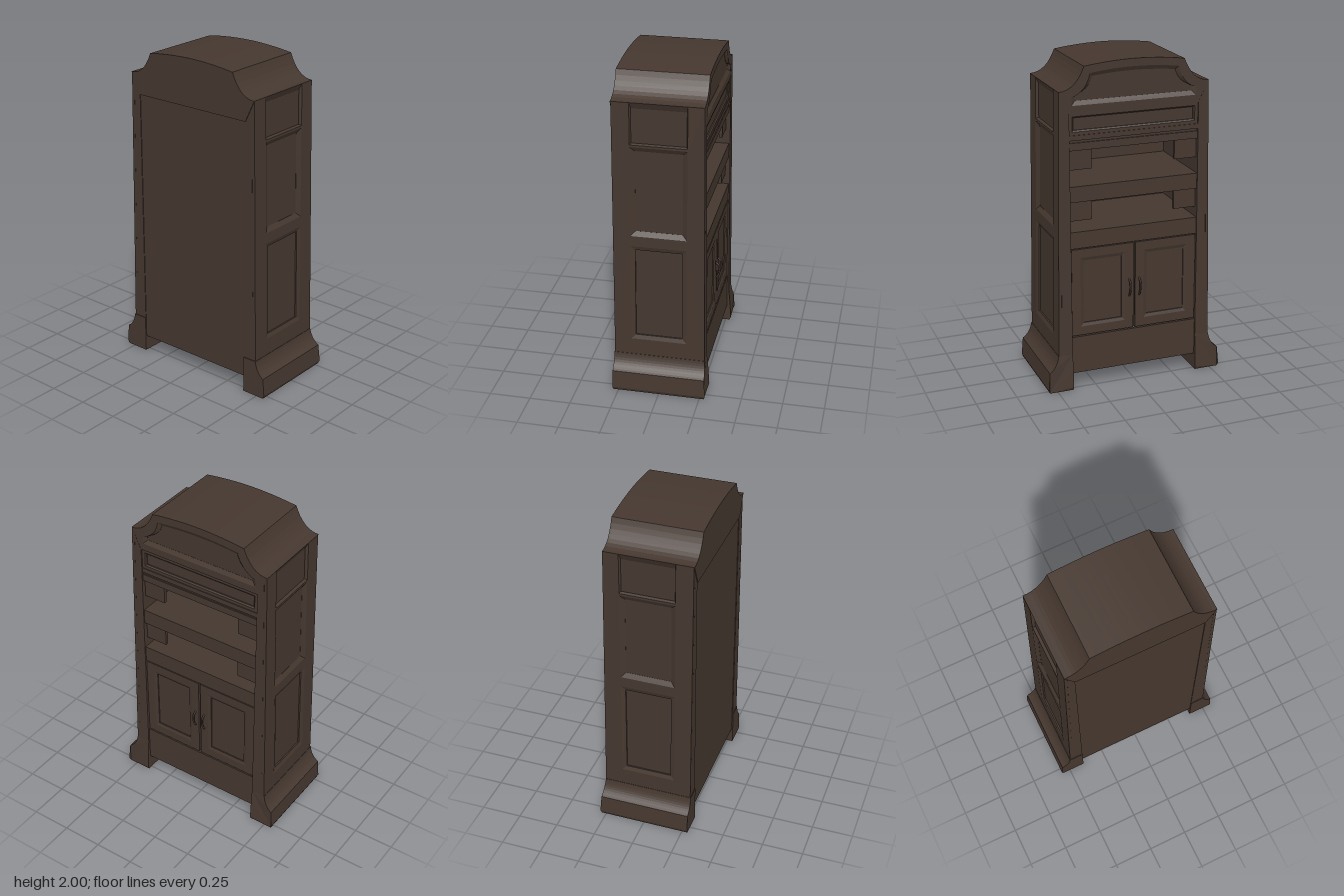
import * as THREE from 'three';

const wood = new THREE.MeshStandardMaterial({ color: 0x45372f, side: THREE.DoubleSide });
wood.name = 'dark brown wood';

const BACK = 0.285; // plain panelled face
const lerp = (a, b, t) => a + (b - a) * t;

// depth of the open face at each height (it leans back slightly)
const lean = [[0, 0.277], [0.02, 0.285], [0.13, 0.278], [0.23, 0.268], [1.84, 0.252], [2.1, 0.252]];
function faceDepth(y) {
  for (let i = 1; i < lean.length; i++) {
    const [y0, d0] = lean[i - 1], [y1, d1] = lean[i];
    if (y <= y1) return lerp(d0, d1, Math.max(0, (y - y0) / (y1 - y0)));
  }
  return 0.252;
}
// half width of the tapering sides
const sideX = (y) => lerp(0.488, 0.461, (y - 0.23) / 1.61);

const rect = (x0, x1, y0, y1) => [[x0, y0], [x1, y0], [x1, y1], [x0, y1]];
const toShape = (pts) => new THREE.Shape(pts.map((p) => new THREE.Vector2(p[0], p[1])));

function reshape(geo, rule) {
  const p = geo.attributes.position, v = new THREE.Vector3();
  for (let i = 0; i < p.count; i++) {
    v.fromBufferAttribute(p, i);
    rule(v);
    p.setXYZ(i, v.x, v.y, v.z);
  }
  geo.computeVertexNormals();
  return geo;
}

function add(parent, name, geo) {
  const mesh = new THREE.Mesh(geo, wood);
  mesh.name = name;
  parent.add(mesh);
  return mesh;
}

function box(parent, name, x0, x1, y0, y1, z0, z1) {
  const m = add(parent, name, new THREE.BoxGeometry(x1 - x0, y1 - y0, z1 - z0));
  m.position.set((x0 + x1) / 2, (y0 + y1) / 2, (z0 + z1) / 2);
}

const extrude = (shape, depth) =>
  new THREE.ExtrudeGeometry(shape, { depth, bevelEnabled: false, curveSegments: 8 });

// frame with openings, local z from 0 to depth
function frameGeo(outer, holes, depth) {
  const shape = toShape(outer);
  holes.forEach((h) => shape.holes.push(toShape(h)));
  return extrude(shape, depth);
}

// moulding around an opening: slopes from depth to low, then drops straight to 0
function mouldingGeo(hole, bevel, depth, low) {
  const xs = hole.map((p) => p[0]), ys = hole.map((p) => p[1]);
  const x0 = Math.min(...xs), x1 = Math.max(...xs), y0 = Math.min(...ys), y1 = Math.max(...ys);
  const cx = (x0 + x1) / 2, cy = (y0 + y1) / 2;
  const kx = 1 - (2 * bevel) / (x1 - x0), ky = 1 - (2 * bevel) / (y1 - y0);
  const inner = hole.map(([x, y]) => [cx + (x - cx) * kx, cy + (y - cy) * ky]);
  const pos = [];
  const strip = (p, zp, q, zq) => p.forEach((a, i) => {
    const j = (i + 1) % p.length;
    pos.push(...a, zp, ...p[j], zp, ...q[j], zq, ...a, zp, ...q[j], zq, ...q[i], zq);
  });
  strip(hole, depth, inner, low);
  strip(inner, low, inner, 0);
  const geo = new THREE.BufferGeometry();
  geo.setAttribute('position', new THREE.Float32BufferAttribute(pos, 3));
  geo.computeVertexNormals();
  return geo;
}

function buildSide() {
  const side = new THREE.Group();
  const T = 0.018;
  const deepen = (shape, back) =>
    reshape(extrude(shape, 1), (v) => { v.z = v.z > 0.5 ? back : -faceDepth(v.y); });

  // flared foot
  const foot = new THREE.Shape();
  foot.moveTo(0.40, 0);
  foot.lineTo(0.55, 0);
  foot.lineTo(0.558, 0.02);
  foot.lineTo(0.549, 0.13);
  foot.quadraticCurveTo(0.5, 0.16, 0.49, 0.23);
  foot.lineTo(0.40, 0.23);
  foot.lineTo(0.40, 0.13);
  foot.lineTo(0.40, 0.02);
  foot.closePath();
  add(side, 'foot', deepen(foot, BACK));

  // tapering post, mitred at the top against the crown
  const post = toShape([[0.40, 0.23], [0.488 - T, 0.23], [0.461 - T, 1.802], [0.40, 1.71]]);
  add(side, 'post', deepen(post, BACK - 0.004));

  // panelled outer skin, laid out in (-z, y) and turned to face outward
  const outward = (geo) => reshape(geo, (v) => {
    const u = v.x;
    v.x = sideX(v.y) - T + v.z;
    v.z = -u;
  });
  const back = 0.004 - BACK;
  const outer = [[back, 0.23], [faceDepth(0.23), 0.23], [faceDepth(1.84), 1.84], [back, 1.84]];
  const holes = [[0.335, 0.955], [1.02, 1.575], [1.588, 1.838]].map(([a, b]) => rect(-0.177, 0.157, a, b));
  add(side, 'sideFrame', outward(frameGeo(outer, holes, T)));
  [[0.026, 0.009], [0.028, 0.001], [0.006, 0.006]].forEach(([bevel, low], i) =>
    add(side, 'sideMoulding', outward(mouldingGeo(holes[i], bevel, T, low))));
  return side;
}

// outline of the arched crown
function crownOutline() {
  const s = new THREE.Shape();
  s.moveTo(-0.40, 1.71);
  s.lineTo(0.40, 1.71);
  s.lineTo(0.462, 1.84);
  s.quadraticCurveTo(0.36, 1.84, 0.308, 1.977);
  s.quadraticCurveTo(0.15, 2.0, 0, 2.0);
  s.quadraticCurveTo(-0.15, 2.0, -0.308, 1.977);
  s.quadraticCurveTo(-0.36, 1.84, -0.462, 1.84);
  s.closePath();
  return s;
}

// outline of its sunk panel
function crownPanel() {
  const s = new THREE.Shape();
  s.moveTo(-0.385, 1.755);
  s.lineTo(0.385, 1.755);
  s.lineTo(0.385, 1.80);
  s.quadraticCurveTo(0.295, 1.83, 0.272, 1.935);
  s.quadraticCurveTo(0.14, 1.955, 0, 1.955);
  s.quadraticCurveTo(-0.14, 1.955, -0.272, 1.935);
  s.quadraticCurveTo(-0.295, 1.83, -0.385, 1.80);
  s.closePath();
  return s.getPoints(6).slice(0, -1).map((p) => [p.x, p.y]);
}

function buildCrown() {
  const crown = new THREE.Group();
  const core = add(crown, 'crownCore', extrude(crownOutline(), BACK + 0.236));
  core.position.z = -0.236;
  const front = crownOutline(), panel = crownPanel();
  front.holes.push(toShape(panel));
  const face = new THREE.Group();
  face.rotation.y = Math.PI;
  face.position.z = -0.236;
  add(face, 'crownFrame', extrude(front, 0.016));
  add(face, 'crownMoulding', mouldingGeo(panel, 0.025, 0.016, 0.001));
  crown.add(face);
  return crown;
}

// framed board with one sunk panel, facing the open side
function framedBoard(name, x0, x1, y0, y1, border, bevel, z) {
  const g = new THREE.Group(), D = 0.014;
  g.name = name;
  const hole = rect(x0 + border, x1 - border, y0 + border, y1 - border);
  add(g, name + 'Frame', frameGeo(rect(x0, x1, y0, y1), [hole], D));
  add(g, name + 'Moulding', mouldingGeo(hole, bevel, D, 0.007));
  box(g, name + 'Panel', x0, x1, y0, y1, -0.008, 0);
  g.rotation.y = Math.PI;
  g.position.z = z + D;
  return g;
}

export function createModel() {
  const model = new THREE.Group();
  model.name = 'bookcaseCabinet';

  const left = buildSide(), right = buildSide();
  left.name = 'leftSide';
  right.name = 'rightSide';
  right.scale.x = -1;
  const crown = buildCrown();
  crown.name = 'crown';
  model.add(left, right, crown);

  // carcass
  box(model, 'backPanel', -0.4, 0.4, 0.1, 1.71, 0.262, 0.277);
  box(model, 'apron', -0.4, 0.4, 0.1, 0.335, -0.257, -0.24);
  box(model, 'lowerShelf', -0.4, 0.4, 0.895, 0.998, -0.252, 0.262);
  box(model, 'upperShelf', -0.4, 0.4, 1.18, 1.275, -0.25, 0.262);
  box(model, 'headerBoard', -0.4, 0.4, 1.49, 1.58, -0.24, 0.262);
  box(model, 'headerLowerMoulding', -0.4, 0.4, 1.49, 1.535, -0.248, -0.24);
  box(model, 'headerUpperMoulding', -0.4, 0.4, 1.55, 1.58, -0.25, -0.24);
  model.add(framedBoard('headerPanel', -0.4, 0.4, 1.58, 1.71, 0.02, 0.008, -0.246));

  // doors, handles and corner blocks, mirrored
  for (const s of [1, -1]) {
    const [a, b] = s > 0 ? [0.006, 0.396] : [-0.396, -0.006];
    model.add(framedBoard('door', a, b, 0.342, 0.89, 0.055, 0.02, -0.254));

    const path = new THREE.CatmullRomCurve3(
      [[0.55, -0.25], [0.57, -0.266], [0.605, -0.276], [0.64, -0.272], [0.66, -0.25]]
        .map(([y, z]) => new THREE.Vector3(s * 0.032, y, z)));
    add(model, 'doorHandle', new THREE.TubeGeometry(path, 16, 0.006, 8, false));

    for (const top of [1.18, 1.49]) {
      const x = s * 0.33;
      box(model, 'cornerBlock', x - 0.07, x + 0.07, top - 0.12, top, -0.23, -0.21);
    }
  }
  return model;
}
